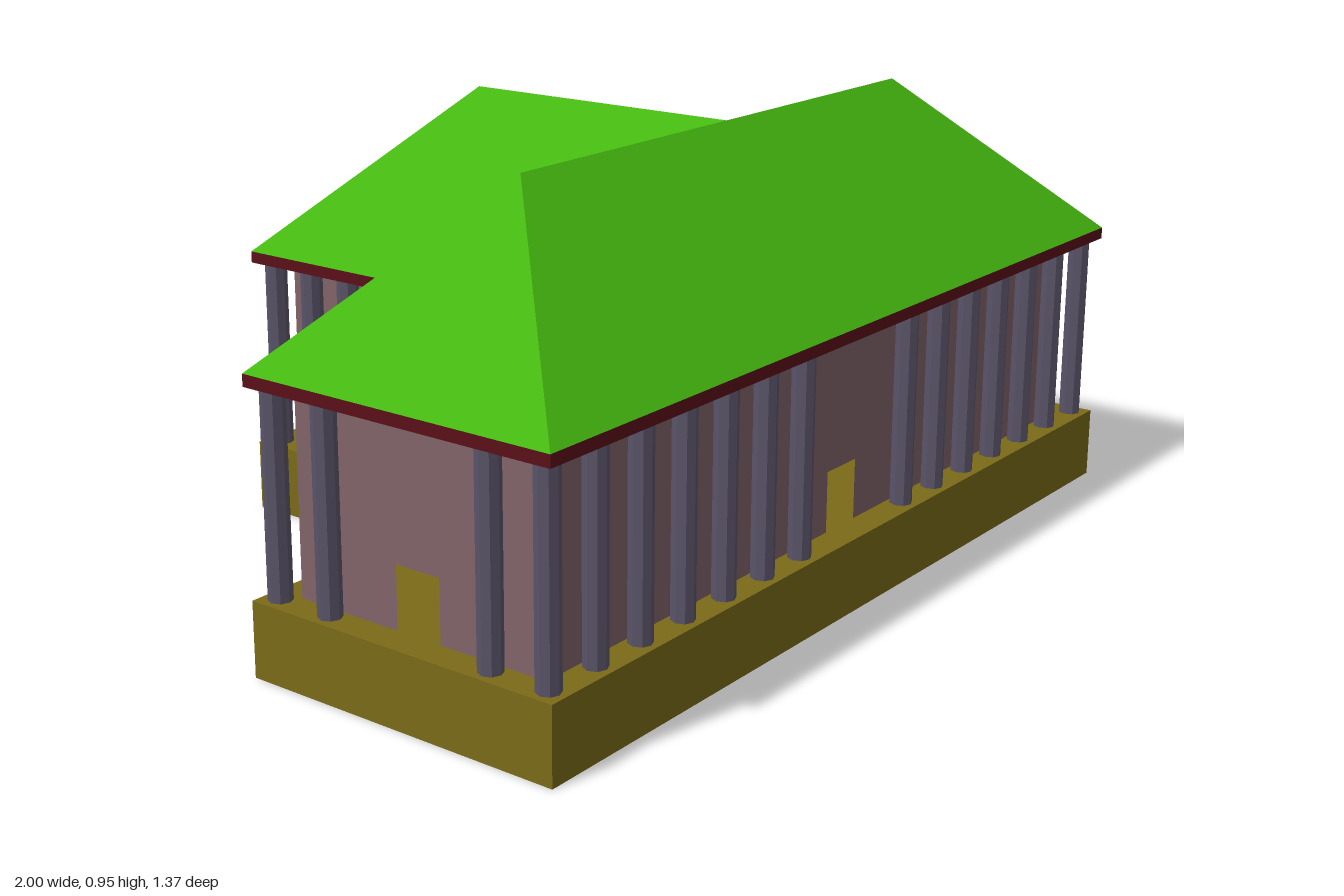
import * as THREE from 'three';

const END = 1, FRONT = 0.685, BACK = -0.03, HALF = 0.3575;   // T-shaped plan
const FLOOR = 0.155, CEILING = 0.57, EAVE = 0.595, RIDGE = 0.95;

const paint = (color, side = THREE.FrontSide) =>
  new THREE.MeshStandardMaterial({ color, side, flatShading: true });

// Corners [x, z] of the T plan, moved inward by d; wall by wall, counter-clockwise from above
function plan(d) {
  const e = END - d, h = HALF - d, f = FRONT - d, b = BACK + d, w = -FRONT + d;
  return [[-e, f], [e, f], [e, b], [h, b], [h, w], [-h, w], [-h, b], [-e, b]];
}

// Column spacing of each wall: number of intervals, and indices left out at the doorway
const BAYS = [
  [15, [7, 8]], [5, [2, 3]], [6, [3]], [6, [3]],
  [5, [2, 3]], [6, [3]], [6, [3]], [5, [2, 3]],
];

// Solid slab with the T plan between two heights
function slab(name, y0, y1, color) {
  const shape = new THREE.Shape(plan(0).map(([x, z]) => new THREE.Vector2(x, -z)));
  const geo = new THREE.ExtrudeGeometry(shape, { depth: y1 - y0, bevelEnabled: false });
  geo.rotateX(-Math.PI / 2).translate(0, y0, 0);
  const mesh = new THREE.Mesh(geo, paint(color));
  mesh.name = name;
  return mesh;
}

// Thin wall from a to b with a doorway in the middle
function wall([ax, az], [bx, bz], material) {
  const half = Math.hypot(bx - ax, bz - az) / 2, h = CEILING - FLOOR;
  const dw = 0.0515, dh = 0.128;
  const shape = new THREE.Shape([
    [-half, 0], [-dw, 0], [-dw, dh], [dw, dh], [dw, 0], [half, 0], [half, h], [-half, h],
  ].map(([x, y]) => new THREE.Vector2(x, y)));
  const mesh = new THREE.Mesh(new THREE.ShapeGeometry(shape), material);
  mesh.name = 'wallWithDoorway';
  mesh.position.set((ax + bx) / 2, FLOOR, (az + bz) / 2);
  mesh.rotation.y = Math.atan2(az - bz, bx - ax);
  return mesh;
}

// Hipped roof over both arms, meeting in two valleys
function roof() {
  const rz = FRONT - HALF, rx = END - HALF;
  const e = (x, z) => [x, EAVE, z], r = (x, z) => [x, RIDGE, z];
  const faces = [
    [e(-END, FRONT), e(END, FRONT), r(rx, rz), r(-rx, rz)],
    [e(HALF, -FRONT), e(-HALF, -FRONT), r(0, -rz)],
  ];
  const oneSide = [
    [e(END, FRONT), e(END, BACK), r(rx, rz)],
    [e(END, BACK), e(HALF, BACK), r(0, rz), r(rx, rz)],
    [e(HALF, BACK), e(HALF, -FRONT), r(0, -rz), r(0, rz)],
  ];
  for (const f of oneSide) {
    faces.push(f, f.map(([x, y, z]) => [-x, y, z]).reverse());
  }
  const pos = [];
  for (const f of faces) {
    for (let i = 1; i < f.length - 1; i++) pos.push(...f[0], ...f[i], ...f[i + 1]);
  }
  const geo = new THREE.BufferGeometry();
  geo.setAttribute('position', new THREE.Float32BufferAttribute(pos, 3));
  geo.computeVertexNormals();
  const mesh = new THREE.Mesh(geo, paint(0x45b810, THREE.DoubleSide));
  mesh.name = 'roof';
  return mesh;
}

export function createModel() {
  const model = new THREE.Group();
  model.name = 'pavilion';
  model.add(slab('base', 0, FLOOR, 0x7a6a18), slab('eaves', CEILING, EAVE, 0x5a1018), roof());

  // Walls set back behind the columns
  const walls = new THREE.Group();
  walls.name = 'walls';
  const wallPaint = paint(0x806468, THREE.DoubleSide);
  const inner = plan(0.065);
  inner.forEach((a, i) => walls.add(wall(a, inner[(i + 1) % inner.length], wallPaint)));

  // Colonnade: each wall's row starts at a corner and stops before the next one
  const columns = new THREE.Group();
  columns.name = 'columns';
  const columnGeo = new THREE.CylinderGeometry(0.024, 0.024, CEILING - FLOOR, 8);
  const columnPaint = paint(0x5a5468);
  const line = plan(0.037);
  line.forEach(([ax, az], i) => {
    const [bx, bz] = line[(i + 1) % line.length];
    const [n, skip] = BAYS[i];
    for (let k = 0; k < n; k++) {
      if (skip.includes(k)) continue;
      const column = new THREE.Mesh(columnGeo, columnPaint);
      column.name = 'column';
      column.position.set(ax + (bx - ax) * k / n, (FLOOR + CEILING) / 2, az + (bz - az) * k / n);
      columns.add(column);
    }
  });

  model.add(walls, columns);
  return model;
}
